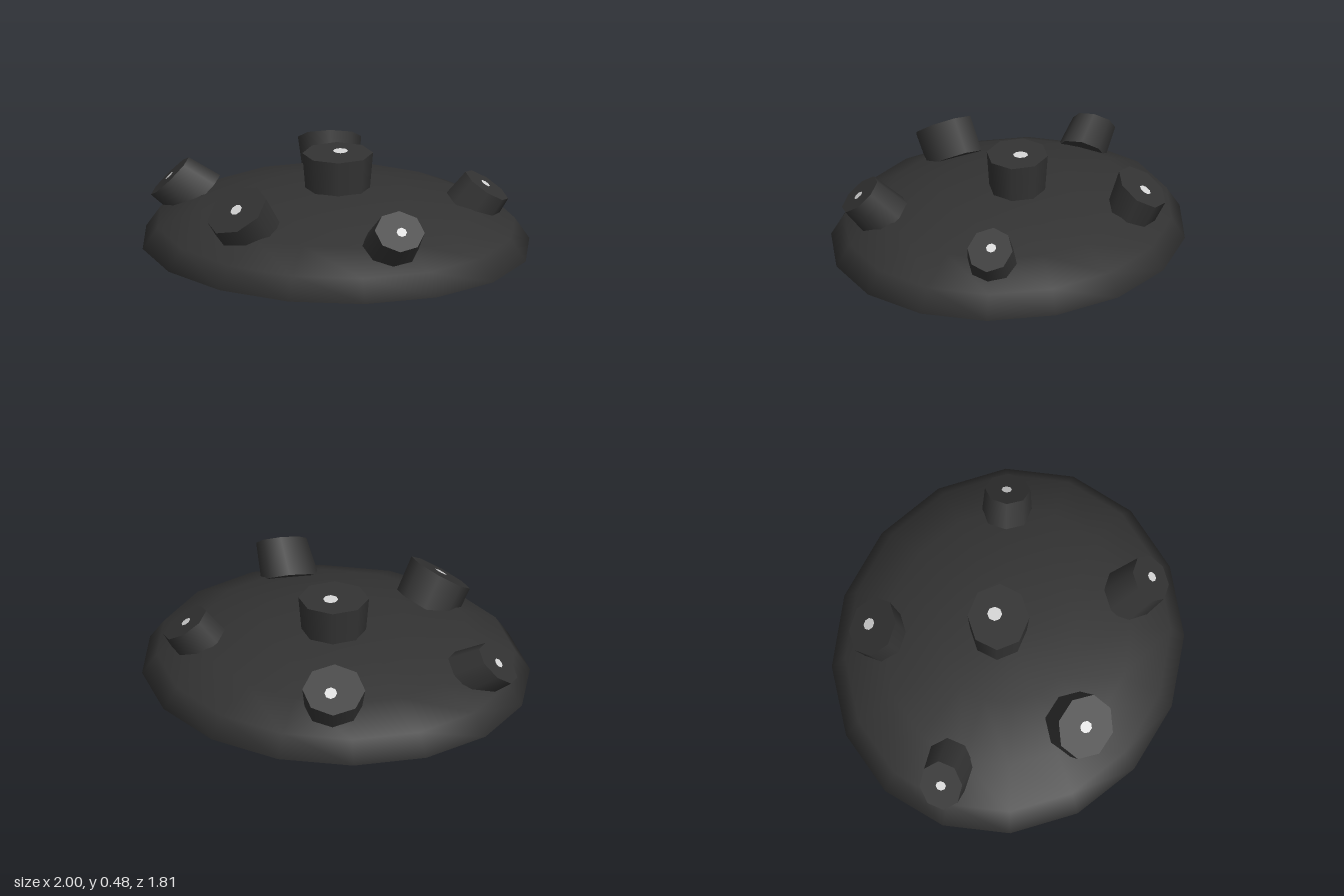
import * as THREE from 'three';

const dark = new THREE.MeshStandardMaterial({ color: 0x333333 });
dark.name = 'charcoal';
const pale = new THREE.MeshStandardMaterial({ color: 0xd8d8d8 });
pale.name = 'paleGrey';

// Maps a unit circle seen from above onto the slightly turned oval plan.
const ovalPlan = new THREE.Matrix4().makeBasis(
  new THREE.Vector3(1, 0, -0.055),
  new THREE.Vector3(0, 1, 0),
  new THREE.Vector3(0.125, 0, 0.905)
);

function addMesh(parent, geometry, material, name) {
  const mesh = new THREE.Mesh(geometry, material);
  mesh.name = name;
  parent.add(mesh);
  return mesh;
}

// Flared eight-sided stud from base to cap, with a small pale dot on the cap.
// ru and rv are the cap radii, flare is base radius / cap radius.
function makeStud({ name, base, cap, normal, ru, rv, flare, dot = [0, 0], dotRadius = 0.033 }) {
  const group = new THREE.Group();
  group.name = name;
  const n = new THREE.Vector3(...normal).normalize();
  const u = new THREE.Vector3(1, 0, 0).addScaledVector(n, -n.x).normalize();
  const v = u.clone().cross(n);
  const top = new THREE.Vector3(...cap);
  const axis = top.clone().sub(new THREE.Vector3(...base));

  // the body leans along its axis while the cap stays square to the normal
  const body = new THREE.CylinderGeometry(1, flare, 1.15, 8).translate(0, -0.575, 0);
  body.applyMatrix4(new THREE.Matrix4()
    .makeBasis(u.clone().multiplyScalar(ru), axis, v.clone().multiplyScalar(rv))
    .setPosition(top));
  addMesh(group, body, dark, 'studBody');

  const disc = new THREE.CircleGeometry(dotRadius, 8).rotateX(-Math.PI / 2);
  disc.translate(dot[0], 0.004, dot[1]);
  disc.applyMatrix4(new THREE.Matrix4().makeBasis(u, n, v).setPosition(top));
  addMesh(group, disc, pale, 'studDot');
  return group;
}

export function createModel() {
  const model = new THREE.Group();
  model.name = 'studdedDome';

  // Flattened sixteen-sided dome
  const dome = new THREE.SphereGeometry(1, 16, 4, 0, Math.PI * 2, 0, Math.PI / 2);
  dome.scale(1, 0.3, 1).applyMatrix4(ovalPlan);
  addMesh(model, dome, dark, 'dome');

  // Flat underside
  const underside = new THREE.CircleGeometry(1, 16).rotateX(Math.PI / 2);
  underside.applyMatrix4(ovalPlan);
  addMesh(model, underside, dark, 'underside');

  // One upright stud in the middle and five leaning outward around it
  const studs = [
    { name: 'centreStud', base: [0.01, 0.27, -0.05], cap: [0.01, 0.48, -0.05],
      normal: [0, 1, 0], ru: 0.183, rv: 0.16, flare: 0.89, dot: [0.015, -0.02], dotRadius: 0.039 },
    { name: 'backStud', base: [-0.01, 0.195, -0.645], cap: [-0.015, 0.33, -0.70],
      normal: [0, 0.83, -0.55], ru: 0.163, rv: 0.145, flare: 0.9, dot: [0.015, -0.02] },
    { name: 'frontLeftStud', base: [0.265, 0.2, 0.61], cap: [0.31, 0.33, 0.725],
      normal: [0.12, 0.76, 0.65], ru: 0.13, rv: 0.122, flare: 1.15, dot: [0.01, 0.005], dotRadius: 0.027 },
    { name: 'leftStud', base: [0.705, 0.195, -0.035], cap: [0.78, 0.3, -0.035],
      normal: [0.56, 0.83, 0], ru: 0.133, rv: 0.118, flare: 1.1, dot: [-0.01, -0.005], dotRadius: 0.027 },
    { name: 'backRightStud', base: [-0.72, 0.18, -0.275], cap: [-0.85, 0.265, -0.31],
      normal: [-0.7, 0.7, -0.12], ru: 0.138, rv: 0.112, flare: 1.12, dotRadius: 0.027 },
    { name: 'frontRightStud', base: [-0.46, 0.21, 0.36], cap: [-0.525, 0.345, 0.425],
      normal: [-0.47, 0.8, 0.38], ru: 0.172, rv: 0.155, flare: 0.98 },
  ];
  for (const stud of studs) model.add(makeStud(stud));

  return model;
}
